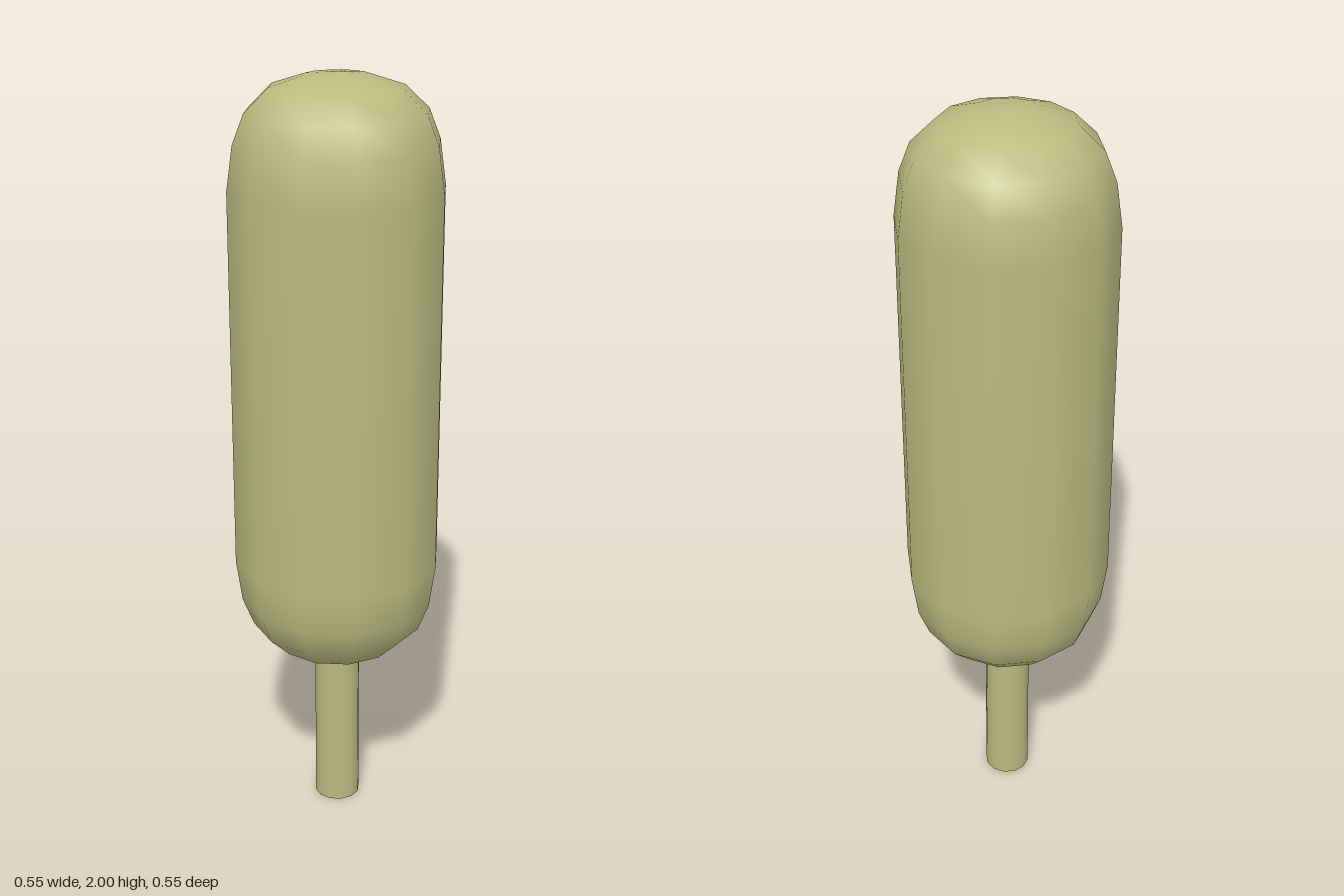
import * as THREE from 'three';

export function createModel() {
  const group = new THREE.Group();
  const material = new THREE.MeshStandardMaterial({ color: 0xbaba80 });

  // Rounded twelve-sided head: one end profile, mirrored top and bottom
  const bottom = 0.453, top = 2;
  const cap = [[0, 0], [0.085, 0.008], [0.168, 0.035], [0.228, 0.093], [0.257, 0.167], [0.273, 0.28]];
  const profile = [
    ...cap.map(([r, d]) => new THREE.Vector2(r, bottom + d)),
    ...cap.slice().reverse().map(([r, d]) => new THREE.Vector2(r, top - d)),
  ];
  const head = new THREE.Mesh(new THREE.LatheGeometry(profile, 12), material);
  head.name = 'head';
  group.add(head);

  // Thin straight stem, sunk slightly into the head
  const stemHeight = 0.47;
  const stem = new THREE.Mesh(new THREE.CylinderGeometry(0.061, 0.061, stemHeight, 12), material);
  stem.position.y = stemHeight / 2;
  stem.name = 'stem';
  group.add(stem);

  return group;
}
